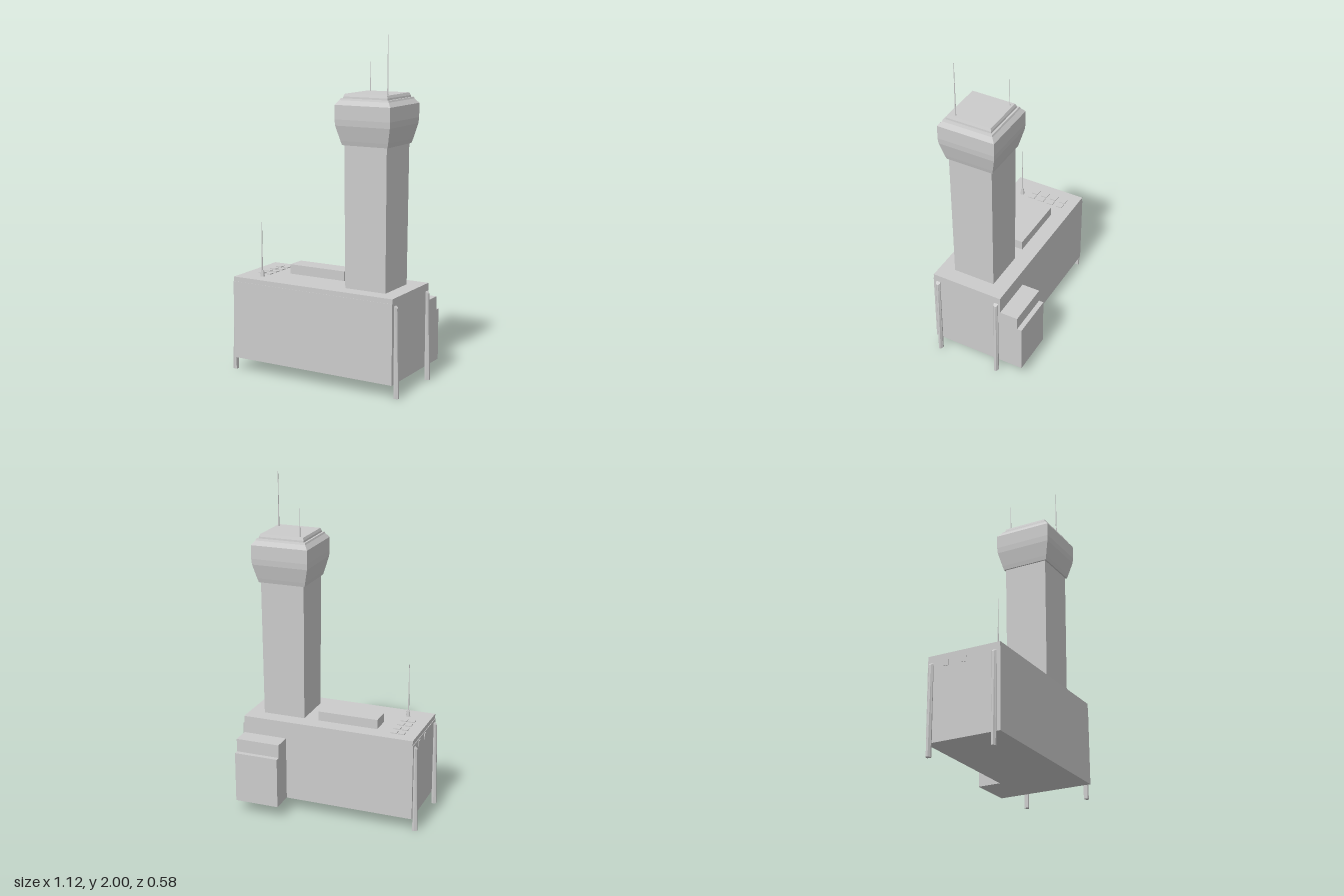
import * as THREE from 'three';

const material = new THREE.MeshStandardMaterial({ color: 0xcccccc, flatShading: true });

export function createModel() {
  const model = new THREE.Group();

  const add = (name, geometry, parent = model) => {
    const mesh = new THREE.Mesh(geometry, material);
    mesh.name = name;
    parent.add(mesh);
    return mesh;
  };

  // Box given by its minimum and maximum corners
  const box = (name, [x0, y0, z0], [x1, y1, z1], parent) => {
    const mesh = add(name, new THREE.BoxGeometry(x1 - x0, y1 - y0, z1 - z0), parent);
    mesh.position.set((x0 + x1) / 2, (y0 + y1) / 2, (z0 + z1) / 2);
    return mesh;
  };

  // Square tower section: rows of [height, half width], closed at both ends
  const squareLathe = (name, rows, parent) => {
    const r = Math.SQRT2;
    const points = [[rows[0][0], 0], ...rows, [rows[rows.length - 1][0], 0]]
      .map(([y, half]) => new THREE.Vector2(half * r, y));
    return add(name, new THREE.LatheGeometry(points, 4, Math.PI / 4), parent);
  };

  // Thin tapering mast
  const mast = (name, x, z, y0, y1, radius) => {
    const mesh = add(name, new THREE.CylinderGeometry(radius * 0.4, radius, y1 - y0, 6));
    mesh.position.set(x, (y0 + y1) / 2, z);
  };

  // Main building with a slim roof lip
  box('building', [-0.53, 0.08, -0.155], [0.53, 0.545, 0.29]);
  box('roofLip', [-0.527, 0.545, -0.155], [0.53, 0.573, 0.288]);

  // Rear annex and its lower, set-back cap
  box('annex', [0.26, 0.08, -0.295], [0.53, 0.388, -0.155]);
  box('annexCap', [0.26, 0.388, -0.266], [0.53, 0.468, -0.155]);

  // Roof housing
  box('roofHousing', [-0.28, 0.573, -0.06], [0.09, 0.63, 0.056]);

  // Two rows of roof vents
  const vents = new THREE.Group();
  vents.name = 'roofVents';
  model.add(vents);
  for (const x of [-0.434, -0.387]) {
    for (let i = 0; i < 4; i++) {
      const z = -0.068 + i * 0.064;
      box('roofVent', [x - 0.019, 0.57, z - 0.019], [x + 0.019, 0.578, z + 0.019], vents);
    }
  }

  // Small wall vents on the far end
  for (const z of [-0.04, 0.07]) {
    box('wallVent', [-0.534, 0.5, z - 0.014], [-0.53, 0.535, z + 0.014]);
  }

  // Corner legs: pointed-front prisms leaning into the wall at the top
  const legShape = new THREE.Shape([
    [0, -0.012], [0.012, -0.014], [0.027, -0.006], [0.027, 0.006], [0.012, 0.014], [0, 0.012],
  ].map(([x, y]) => new THREE.Vector2(x, y)));
  for (const side of [1, -1]) {
    for (const z of [-0.13, 0.257]) {
      const leg = new THREE.ExtrudeGeometry(legShape, { depth: 0.525, bevelEnabled: false });
      leg.rotateX(-Math.PI / 2);
      const p = leg.attributes.position;
      for (let i = 0; i < p.count; i++) {
        if (p.getY(i) > 0.3) {
          p.setX(i, p.getX(i) * 0.6);
          p.setY(i, 0.53 - p.getX(i) * 0.8);
        }
      }
      if (side < 0) leg.rotateY(Math.PI);
      leg.computeVertexNormals();
      add('leg', leg).position.set(side * 0.531, 0, z);
    }
  }

  // Control tower: shaft, flared cabin and roof
  const tower = new THREE.Group();
  tower.name = 'tower';
  tower.position.set(0.309, 0, 0.069);
  model.add(tower);
  squareLathe('shaft', [[0.57, 0.129], [1.395, 0.134]], tower);
  squareLathe('cabin', [
    [1.39, 0.143], [1.415, 0.15], [1.5, 0.171], [1.535, 0.174],
    [1.615, 0.174], [1.64, 0.154], [1.65, 0.15],
  ], tower);
  squareLathe('towerRoof', [[1.645, 0.14], [1.66, 0.138], [1.675, 0.132]], tower);

  // Masts on the tower roof
  mast('tallMast', 0.424, 0.16, 1.66, 2.0, 0.004);
  mast('shortMast', 0.203, -0.045, 1.66, 1.84, 0.003);

  // Roof mast standing on a small conical base
  const base = add('mastBase', new THREE.CylinderGeometry(0.008, 0.014, 0.04, 8));
  base.position.set(-0.385, 0.592, 0.197);
  mast('roofMast', -0.387, 0.197, 0.6, 0.9, 0.004);

  return model;
}
